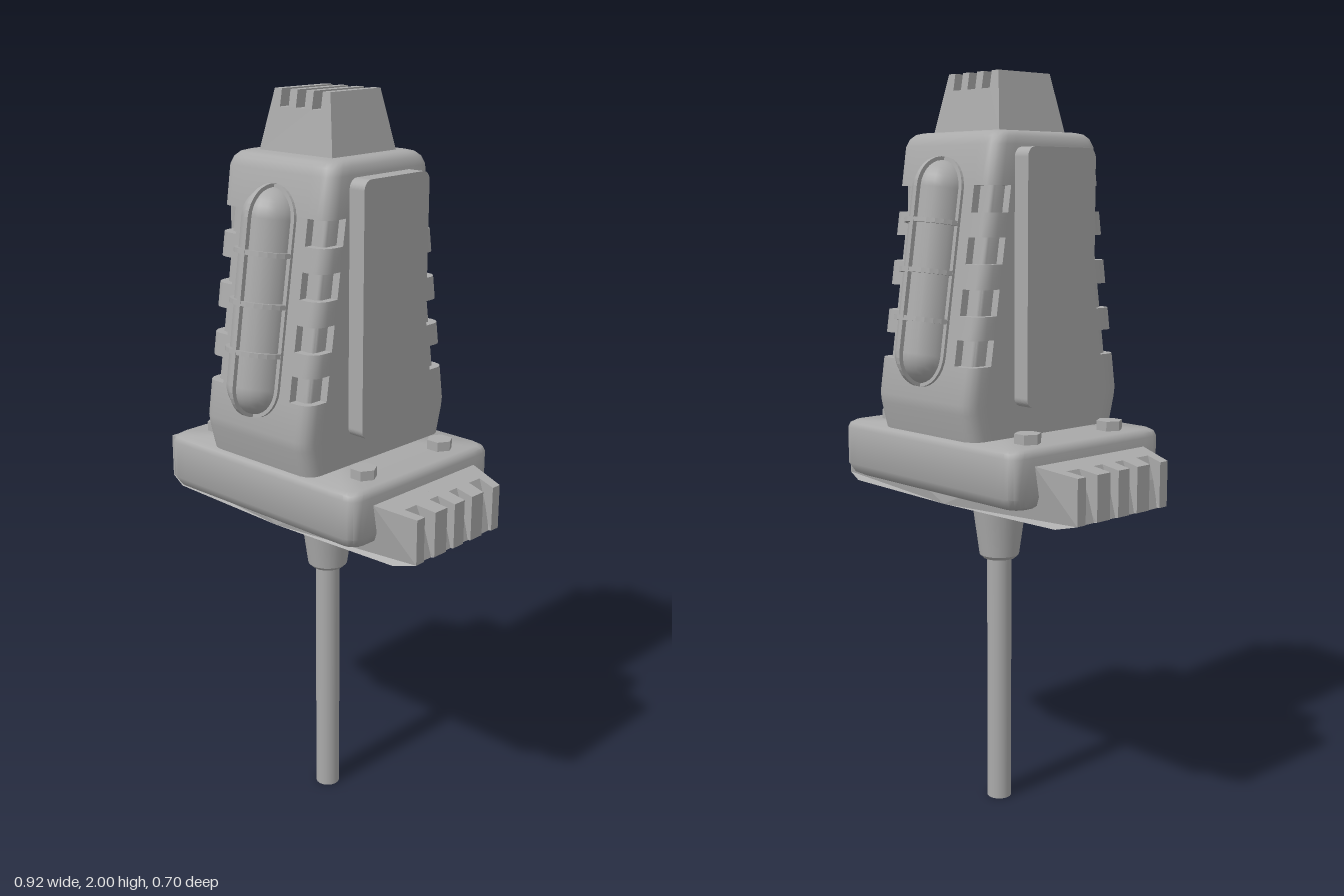
import * as THREE from 'three';
import { toCreasedNormals } from 'three/addons/utils/BufferGeometryUtils.js';

const gray = new THREE.MeshStandardMaterial({ color: 0xaaaaaa });
gray.name = 'plain gray';

function add(parent, name, geometry) {
  const mesh = new THREE.Mesh(geometry, gray);
  mesh.name = name;
  parent.add(mesh);
  return mesh;
}

// Rounded-rectangle outline; d sinks the four corners to form a notch of width n
function ring(hx, hz, r, d, n = 0.065, steps = 4) {
  const quarter = [[hx, hz - n], [hx - d, hz - n]];
  for (let i = 0; i <= steps; i++) {
    const a = (i / steps) * Math.PI / 2;
    quarter.push([hx - r + (r - d) * Math.cos(a), hz - r + (r - d) * Math.sin(a)]);
  }
  quarter.push([hx - n, hz - d], [hx - n, hz]);
  const back = [...quarter].reverse();
  return [[1, -1, quarter], [-1, -1, back], [-1, 1, quarter], [1, 1, back]]
    .flatMap(([sx, sz, pts]) => pts.map(([x, z]) => [x * sx, z * sz]));
}

// Skin over levels of [y, half width, half depth, corner notch depth]
function loft(levels, r) {
  const rings = levels.map(([y, hx, hz, d = 0]) =>
    ring(hx, hz, r, d).map(([x, z]) => new THREE.Vector3(x, y, z)));
  const out = [];
  const e1 = new THREE.Vector3(), e2 = new THREE.Vector3();
  const tri = (a, b, c) => {
    if (e1.subVectors(b, a).cross(e2.subVectors(c, a)).length() < 1e-8) return;
    for (const p of [a, b, c]) out.push(p.x, p.y, p.z);
  };
  const count = rings[0].length, last = rings.length - 1;
  const low = new THREE.Vector3(0, levels[0][0], 0);
  const high = new THREE.Vector3(0, levels[last][0], 0);
  for (let i = 0; i < count; i++) {
    const j = (i + 1) % count;
    for (let k = 0; k < last; k++) {
      const a = rings[k], b = rings[k + 1];
      tri(a[i], a[j], b[j]);
      tri(a[i], b[j], b[i]);
    }
    tri(low, rings[0][j], rings[0][i]);
    tri(high, rings[last][i], rings[last][j]);
  }
  const g = new THREE.BufferGeometry();
  g.setAttribute('position', new THREE.Float32BufferAttribute(out, 3));
  return toCreasedNormals(g, 0.7);
}

function extrude(shape, depth, curveSegments = 8) {
  return new THREE.ExtrudeGeometry(shape, { depth, bevelEnabled: false, curveSegments })
    .translate(0, 0, -depth / 2);
}

const polygon = (pts) => new THREE.Shape(pts.map(([x, y]) => new THREE.Vector2(x, y)));

// Scale depth by a rule of x and y
function taper(g, rule) {
  const p = g.attributes.position;
  for (let i = 0; i < p.count; i++) p.setZ(i, p.getZ(i) * rule(p.getX(i), p.getY(i)));
  g.computeVertexNormals();
  return g;
}

// Upright rounded slot outline: half straight length h, end radius r
function stadium(path, h, r) {
  path.moveTo(r, -h);
  path.lineTo(r, h);
  path.absarc(0, h, r, 0, Math.PI, false);
  path.lineTo(-r, -h);
  path.absarc(0, -h, r, Math.PI, Math.PI * 2, false);
  return path;
}

// Capsule lamp with a cage of flat bars
function buildLamp() {
  const lamp = new THREE.Group();
  lamp.name = 'lamp';
  add(lamp, 'lampCapsule', new THREE.CapsuleGeometry(0.074, 0.42, 8, 20));
  const loop = stadium(new THREE.Shape(), 0.208, 0.085);
  loop.holes.push(stadium(new THREE.Path(), 0.208, 0.06));
  add(lamp, 'cageSideRail', extrude(loop, 0.012));
  add(lamp, 'cageFrontRail', extrude(loop, 0.012).rotateY(Math.PI / 2));
  const hoop = new THREE.Shape().absarc(0, 0, 0.085, 0, Math.PI * 2, false);
  hoop.holes.push(new THREE.Path().absarc(0, 0, 0.06, 0, Math.PI * 2, false));
  for (const y of [-0.122, 0, 0.125]) {
    add(lamp, 'cageHoop', extrude(hoop, 0.012, 12).rotateX(Math.PI / 2).translate(0, y, 0));
  }
  return lamp;
}

export function createModel() {
  const model = new THREE.Group();
  model.name = 'cagedLampTower';

  // Rod and collar
  add(model, 'rod', new THREE.CylinderGeometry(0.034, 0.034, 0.74, 20).translate(0, 0.37, 0));
  const collar = [[0, 0.705], [0.045, 0.705], [0.055, 0.715], [0.08, 0.895]];
  add(model, 'collar', toCreasedNormals(
    new THREE.LatheGeometry(collar.map(([x, y]) => new THREE.Vector2(x, y)), 24), 0.6));

  // Base block
  add(model, 'base', loft([
    [0.925, 0.318, 0.238], [0.935, 0.335, 0.258], [0.96, 0.346, 0.272],
    [1.06, 0.346, 0.272], [1.073, 0.341, 0.267], [1.08, 0.33, 0.256],
  ], 0.035));

  // Under plate whose ends carry upright slots
  const tooth = [[0, 0.886], [0.4, 0.886], [0.459, 0.9], [0.459, 1.02], [0.345, 1.038], [0, 1.038]];
  const slot = [[0, 0.886], [0.4, 0.886], [0.45, 0.898], [0.43, 0.97], [0.405, 1.0285], [0.345, 1.038], [0, 1.038]];
  const cuts = [-0.2, -0.165, -0.116, -0.06, -0.024, 0.024, 0.06, 0.116, 0.165, 0.2];
  for (const side of [0, Math.PI]) {
    const plate = new THREE.Group();
    plate.name = 'underPlate';
    plate.rotation.y = side;
    for (let i = 0; i < cuts.length - 1; i++) {
      const g = extrude(polygon(i % 2 ? slot : tooth), cuts[i + 1] - cuts[i])
        .translate(0, 0, (cuts[i] + cuts[i + 1]) / 2);
      add(plate, i % 2 ? 'plateSlot' : 'plateTooth',
        taper(g, (x) => 1 - Math.max(0, x - 0.345) * 1.5));
    }
    model.add(plate);
  }

  // Hexagonal bolts
  for (const x of [-0.268, 0.268]) for (const z of [-0.15, 0.15]) {
    add(model, 'bolt', toCreasedNormals(
      new THREE.CylinderGeometry(0.035, 0.035, 0.035, 6).rotateY(Math.PI / 6), 0.3))
      .position.set(x, 1.088, z);
  }

  // Tower body with four notches down each corner
  const depthAt = (y) => 0.28 - (y - 1.17) * 0.152;
  const levels = [[1.07, 0.187, 0.255], [1.15, 0.187, 0.276], [1.175, 0.187, depthAt(1.175)]];
  for (const y of [1.302, 1.427, 1.555, 1.682]) {
    for (const [edge, d] of [[-0.033, 0], [-0.033, 0.022], [0.033, 0.022], [0.033, 0]]) {
      levels.push([y + edge, 0.187, depthAt(y + edge), d]);
    }
  }
  for (const [y, inset] of [[1.815, 0], [1.835, 0.006], [1.846, 0.016], [1.85, 0.03]]) {
    levels.push([y, 0.187 - inset, depthAt(y) - inset]);
  }
  add(model, 'tower', loft(levels, 0.036));

  // Side panels
  const panel = new THREE.Shape();
  const [pw, ph, pr] = [0.12, 0.325, 0.025];
  panel.absarc(pw - pr, ph - pr, pr, 0, Math.PI / 2);
  panel.absarc(pr - pw, ph - pr, pr, Math.PI / 2, Math.PI);
  panel.absarc(pr - pw, pr - ph, pr, Math.PI, Math.PI * 1.5);
  panel.absarc(pw - pr, pr - ph, pr, Math.PI * 1.5, Math.PI * 2);
  for (const s of [-1, 1]) {
    add(model, 'sidePanel', extrude(panel, 0.07).rotateY(Math.PI / 2))
      .position.set(s * 0.2, 1.484, 0);
  }

  // Slotted cap
  const cap = [[-0.127, 1.845], [0.127, 1.845], [0.095, 2]];
  for (const x of [0.055, 0, -0.055]) {
    cap.push([x + 0.015, 2], [x + 0.015, 1.957], [x - 0.015, 1.957], [x - 0.015, 2]);
  }
  cap.push([-0.095, 2]);
  add(model, 'cap', taper(extrude(polygon(cap), 0.234), (x, y) => 1 - (y - 1.845) * 1.48));

  // Caged lamps on the front and back slopes
  for (const turn of [0, Math.PI]) {
    const holder = new THREE.Group();
    holder.name = turn ? 'backLamp' : 'frontLamp';
    holder.rotation.y = turn;
    const lamp = buildLamp();
    lamp.position.set(0, 1.497, depthAt(1.497) + 0.002);
    lamp.rotation.x = -Math.atan(0.152);
    holder.add(lamp);
    model.add(holder);
  }
  return model;
}
